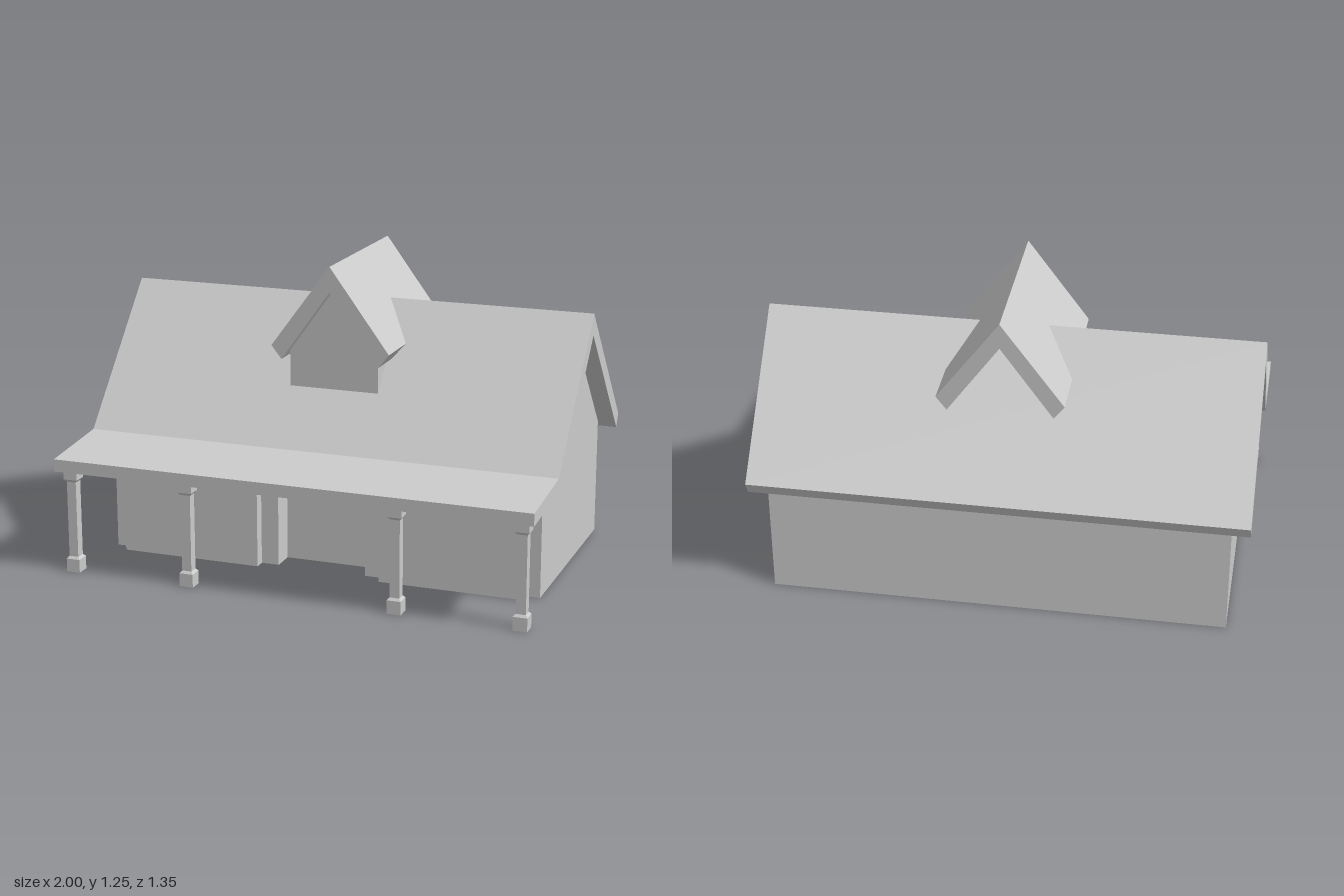
import * as THREE from 'three';

const RIDGE_Z = -0.174;
const solid = new THREE.MeshStandardMaterial({ color: 0xcccccc, flatShading: true });
const thin = new THREE.MeshStandardMaterial({ color: 0xcccccc, flatShading: true, side: THREE.DoubleSide });

// Height of the main roof's underside at depth z
function underside(z) {
  if (z > 0.298) return 0.463 - (z - 0.298) * 0.076;
  return 0.973 - Math.abs(z - RIDGE_Z) * 1.08;
}

// Upright walls along a path of [x, z], topped by the height rule
function wallGeometry(path, bottom, top) {
  const pos = [];
  for (let i = 0; i + 1 < path.length; i++) {
    const [ax, az] = path[i], [bx, bz] = path[i + 1];
    const a0 = [ax, bottom(ax, az), az], a1 = [ax, top(ax, az), az];
    const b0 = [bx, bottom(bx, bz), bz], b1 = [bx, top(bx, bz), bz];
    pos.push(...a0, ...b0, ...b1, ...a0, ...b1, ...a1);
  }
  const g = new THREE.BufferGeometry();
  g.setAttribute('position', new THREE.Float32BufferAttribute(pos, 3));
  g.computeVertexNormals();
  return g;
}

function extrude(points, depth) {
  const shape = new THREE.Shape(points.map(([x, y]) => new THREE.Vector2(x, y)));
  return new THREE.ExtrudeGeometry(shape, { depth, bevelEnabled: false });
}

export function createModel() {
  const group = new THREE.Group();
  const add = (name, geometry, material) => {
    const mesh = new THREE.Mesh(geometry, material);
    mesh.name = name;
    group.add(mesh);
    return mesh;
  };

  // House walls: raised front panels, recessed doorway, gabled ends
  const half = [[0.19, 0.175], [0.19, 0.275], [0.265, 0.275], [0.265, 0.322], [0.865, 0.322],
    [0.865, 0.275], [0.925, 0.275], [0.925, RIDGE_Z], [0.925, -0.622]];
  const mirrored = half.map(([x, z]) => [-x, z]).reverse();
  const plan = [...mirrored, ...half, mirrored[0]];
  add('houseWalls', wallGeometry(plan, () => 0, (x, z) => underside(z)), thin);

  // Main roof with the shallow porch roof in front
  const roof = extrude([
    [0.677, 0.434], [0.677, 0.485], [0.324, 0.517], [RIDGE_Z, 1.063],
    [-0.677, 0.517], [-0.647, 0.463], [RIDGE_Z, 0.973], [0.298, 0.463],
  ], 2);
  roof.rotateY(-Math.PI / 2).translate(1, 0, 0);
  add('mainRoof', roof, solid);

  // Dormer roof running through the ridge
  const dormerRoof = extrude([
    [0, 1.25], [-0.253, 0.908], [-0.21, 0.853], [0, 1.145], [0.21, 0.853], [0.253, 0.908],
  ], 0.707);
  dormerRoof.translate(0, 0, -0.529);
  add('dormerRoof', dormerRoof, solid);

  // Dormer gable wall and cheeks
  const dormerPath = [[-0.19, -0.03], [-0.19, 0.13], [0, 0.13], [0.19, 0.13], [0.19, -0.03]];
  add('dormerWalls', wallGeometry(dormerPath, () => 0.732, (x) => 1.145 - Math.abs(x) * 1.39), thin);

  // Square porch posts with base and capital, open toward the house
  const profile = [[0.029, 0], [0.029, 0.055], [0.02, 0.065], [0.02, 0.383], [0.029, 0.394], [0.029, 0.438]]
    .map(([r, y]) => new THREE.Vector2(r * Math.SQRT2, y));
  const post = new THREE.LatheGeometry(profile, 3, -Math.PI * 0.75, Math.PI * 1.5);
  for (const x of [-0.946, -0.44, 0.44, 0.946]) {
    add('porchPost', post, thin).position.set(x, 0, 0.617);
  }

  return group;
}
